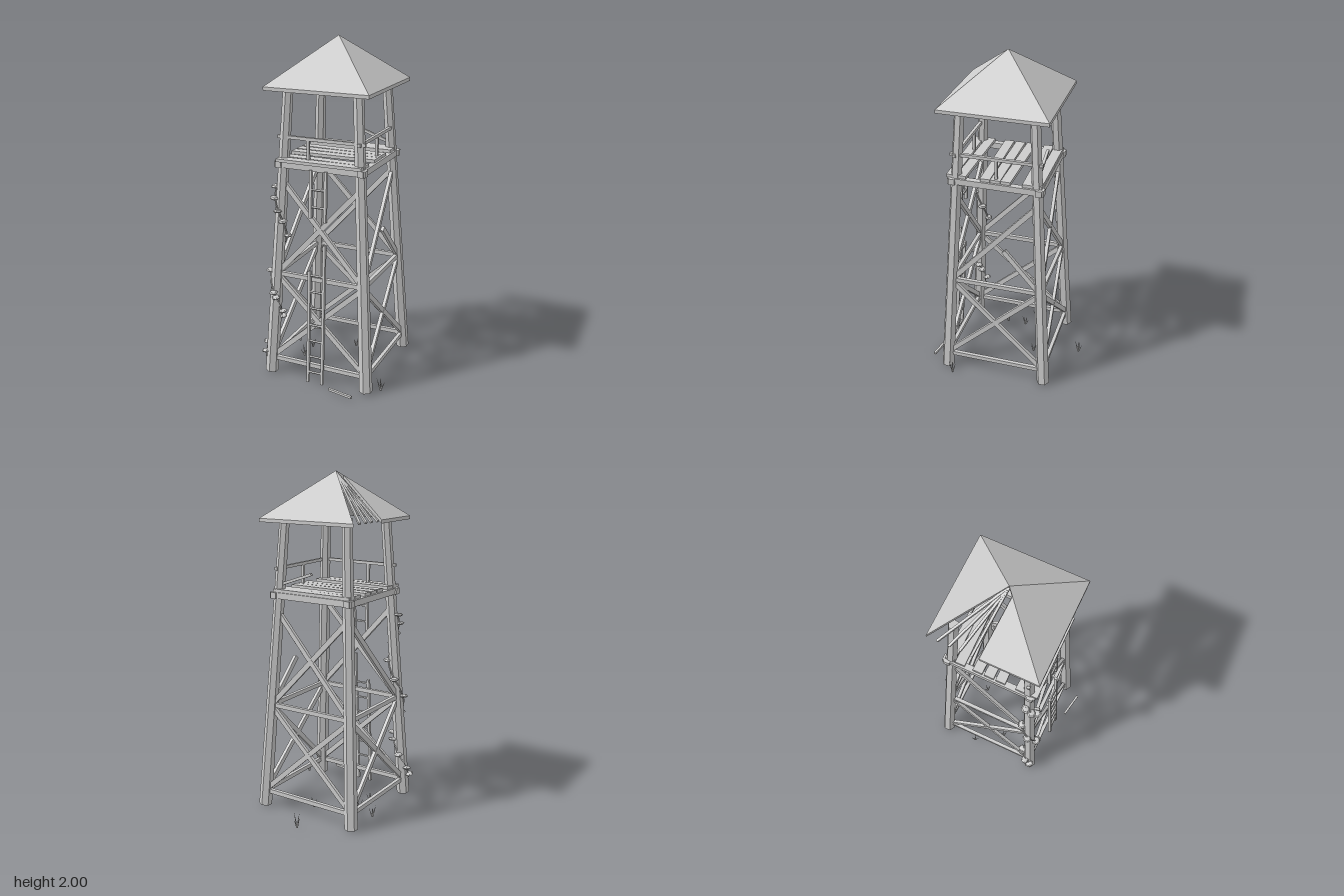
import * as THREE from 'three';

const grey = new THREE.MeshStandardMaterial({ color: 0xcccccc, flatShading: true });
grey.name = 'weathered grey';

const CX = -0.02, CZ = 0.023;                 // tower axis
const V = (x, y, z) => new THREE.Vector3(x, y, z);
const legOffset = (y) => 0.31 - 0.058 * y;    // legs lean inward with height
const UP = V(0, 1, 0);

function add(parent, name, geometry) {
  const mesh = new THREE.Mesh(geometry, grey);
  mesh.name = name;
  parent.add(mesh);
  return mesh;
}

function group(parent, name) {
  const g = new THREE.Group();
  g.name = name;
  parent.add(g);
  return g;
}

// Square timber between two points; h is the size across the beam, d its depth
function beam(parent, name, a, b, h, d = h) {
  const mesh = add(parent, name, new THREE.BoxGeometry(d, h, a.distanceTo(b)));
  mesh.position.copy(a).add(b).multiplyScalar(0.5);
  mesh.lookAt(b);
  return mesh;
}

// Round pole between two points
function pole(parent, name, a, b, r0, r1, sides) {
  const mesh = add(parent, name, new THREE.CylinderGeometry(r1, r0, a.distanceTo(b), sides));
  mesh.position.copy(a).add(b).multiplyScalar(0.5);
  mesh.quaternion.setFromUnitVectors(UP, b.clone().sub(a).normalize());
  return mesh;
}

// Triangular slab: outer corners counter-clockwise, thickened straight down
function slab(parent, name, pts, t) {
  const low = pts.map((p) => V(p.x, p.y - t, p.z));
  const tris = [...pts, low[0], low[2], low[1]];
  for (let i = 0; i < 3; i++) {
    const j = (i + 1) % 3;
    tris.push(pts[i], low[i], low[j], pts[i], low[j], pts[j]);
  }
  const geo = new THREE.BufferGeometry().setFromPoints(tris);
  geo.computeVertexNormals();
  return add(parent, name, geo);
}

// Point on a tower side: s = -1..1 across it, n = side number (front, left, back, right)
function onSide(n, s, y, off = legOffset(y), across = off) {
  const p = V(s * across, y, off).applyAxisAngle(UP, n * Math.PI / 2);
  return p.add(V(CX, 0, CZ));
}

export function createModel() {
  const model = new THREE.Group();
  model.name = 'watchtower';

  // Legs
  const legs = group(model, 'legs');
  for (const sx of [-1, 1]) for (const sz of [-1, 1]) {
    const at = (y) => V(CX + sx * legOffset(y), y, CZ + sz * legOffset(y));
    pole(legs, 'leg', at(0.004), at(1.76), 0.039, 0.029, 6);
  }

  // Horizontal and diagonal braces on each side
  const braces = group(model, 'braces');
  for (let n = 0; n < 4; n++) {
    for (const y of [0.095, 0.64]) {
      beam(braces, 'crossbar', onSide(n, -1, y), onSide(n, 1, y), 0.026, 0.022);
    }
    for (const s of [-1, 1]) {
      beam(braces, 'lowerBrace', onSide(n, -s, 0.1), onSide(n, s, 0.63), 0.03, 0.02);
      const a = onSide(n, -s, 0.64), b = onSide(n, s, 1.2);
      if (n === 1 && s === -1) {
        beam(braces, 'brokenBrace', a, a.clone().lerp(b, 0.44), 0.03, 0.02);
      } else if (!(n === 3 && s === 1)) {
        beam(braces, 'upperBrace', a, b, 0.03, 0.02);
      }
    }
  }

  // Platform frame and remaining planks
  const platform = group(model, 'platform');
  for (let n = 0; n < 4; n++) {
    beam(platform, 'frameBeam', onSide(n, -1, 1.3, 0.25, 0.278), onSide(n, 1, 1.3, 0.25, 0.278), 0.036);
  }
  [0.282, 0.217, 0.088, 0.024, -0.04, -0.155, -0.213].forEach((z, i) => {
    const plank = add(platform, 'plank', new THREE.BoxGeometry(0.515, 0.018, 0.057));
    plank.position.set(CX, 1.328, z);
    plank.rotation.y = [0.01, -0.02, 0.02, 0, -0.02, 0.015, 0][i];
  });

  // Railings: front and left whole, back broken
  const railing = group(model, 'railing');
  for (const n of [0, 1]) {
    beam(railing, 'handrail', onSide(n, -1, 1.455, 0.235, 0.265), onSide(n, 1, 1.455, 0.235, 0.265), 0.018);
    const s = n === 0 ? -0.34 : 0;
    beam(railing, 'railPost', onSide(n, s, 1.32, 0.235), onSide(n, s, 1.455, 0.235), 0.016);
  }
  beam(railing, 'brokenHandrail', V(0.19, 1.367, -0.21), V(-0.01, 1.437, -0.21), 0.016);

  // Ladder with a missing middle
  const ladder = group(model, 'ladder');
  const onLadder = (x, y) => V(x, y, 0.37 - 0.06 * y);
  const [lx, rx] = [-0.067, 0.024];
  for (const [x, y0, y1] of [[lx, 0.004, 0.7], [rx, 0.004, 0.865], [lx, 1.015, 1.29], [rx, 1.0, 1.29]]) {
    beam(ladder, 'ladderRail', onLadder(x, y0), onLadder(x, y1), 0.018, 0.016);
  }
  for (const y of [0.07, 0.17, 0.27, 0.37, 0.475, 0.575, 0.675, 1.08, 1.18]) {
    pole(ladder, 'rung', onLadder(lx, y), onLadder(rx, y), 0.007, 0.007, 5);
  }

  // Roof: three whole panels, one torn panel and its bare rafters
  const roof = group(model, 'roof');
  const apex = V(CX, 2, CZ), eave = 1.74, half = 0.312;
  for (let n = 0; n < 3; n++) {
    slab(roof, 'roofPanel', [onSide(n, -1, eave, half), onSide(n, 1, eave, half), apex], 0.02);
  }
  const frontCorner = onSide(3, 1, eave, half);
  slab(roof, 'tornRoofPanel',
    [V(CX - half, eave, 0.005), frontCorner, frontCorner.clone().lerp(apex, 0.9)], 0.02);
  for (const z of [-0.225, -0.16, -0.1, -0.035]) {
    beam(roof, 'rafter', V(CX - half, 1.735, z), V(CX, 1.985, CZ), 0.013);
  }

  // Vine winding up the front right leg, with flat leaves
  const vine = group(model, 'vine');
  const onVine = (t, out) => {
    const y = 0.1 + 1.07 * t, a = 2.4 + t * 13.5;
    return V(CX - legOffset(y) + Math.cos(a) * out, y, CZ + legOffset(y) + Math.sin(a) * out);
  };
  const stem = [];
  for (let i = 0; i <= 26; i++) stem.push(onVine(i / 26, 0.039));
  add(vine, 'vineStem', new THREE.TubeGeometry(new THREE.CatmullRomCurve3(stem), 60, 0.005, 4));
  const leafGeo = new THREE.SphereGeometry(0.029, 6, 4);
  leafGeo.scale(1, 0.38, 0.9);
  for (const y of [0.13, 0.18, 0.27, 0.36, 0.4, 0.5, 0.53, 0.65, 0.76, 0.87, 0.97, 1.03, 1.1, 1.16]) {
    const leaf = add(vine, 'leaf', leafGeo);
    leaf.position.copy(onVine((y - 0.1) / 1.07, 0.046));
    leaf.rotation.set(0.15 * Math.sin(y * 40), y * 17, 0.15 * Math.cos(y * 31));
  }

  // Grass tufts
  const grass = group(model, 'grass');
  const tufts = [[-0.055, -0.435, 0.088], [0.36, 0.28, 0.088], [-0.345, -0.075, 0.07],
    [-0.23, 0.09, 0.068], [0.02, -0.155, 0.065], [-0.23, -0.03, 0.065]];
  tufts.forEach(([x, z, h], i) => {
    for (let k = 0; k < 4; k++) {
      const a = i * 1.3 + k * 1.6, r = 0.02 + 0.003 * (k % 2);
      const tip = V(x + Math.cos(a) * r, h * (1 - 0.13 * k), z + Math.sin(a) * r);
      pole(grass, 'grassBlade', V(x, 0, z), tip, 0.006, 0.0005, 4);
    }
  });

  // Fallen plank on the ground
  beam(model, 'fallenPlank', V(0.089, 0.014, 0.413), V(0.245, 0.014, 0.443), 0.014);

  return model;
}
